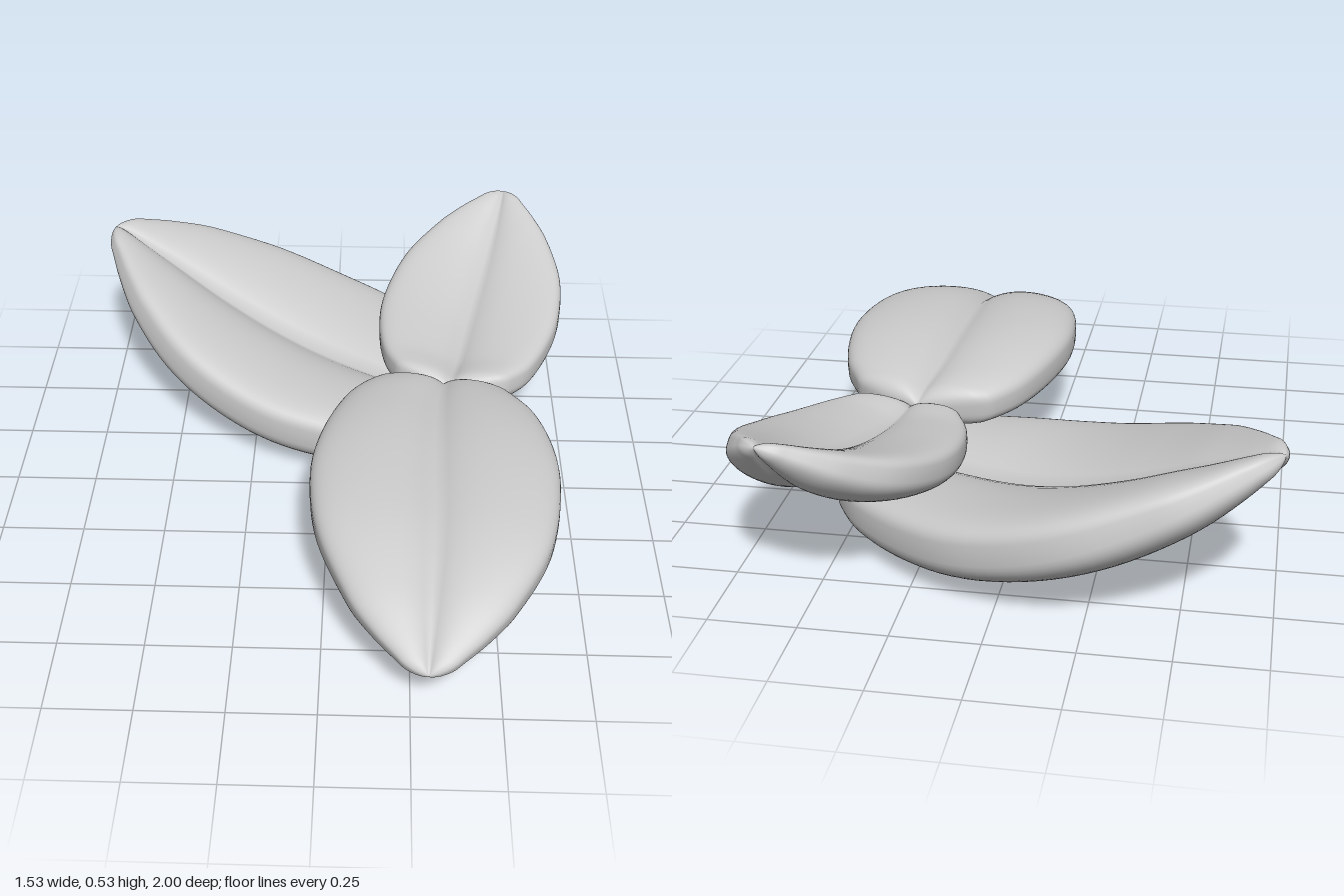
import * as THREE from 'three';

const RINGS = 56, SIDES = 80;
const material = new THREE.MeshStandardMaterial({ color: 0xcccccc });

// Smooth curve through [position, value] pairs, sampled by position
function profile(pairs) {
  return (u) => {
    const last = pairs.length - 1;
    let i = 0;
    while (i < last - 1 && u > pairs[i + 1][0]) i++;
    const slope = (k) => {
      const a = pairs[Math.max(k - 1, 0)], b = pairs[Math.min(k + 1, last)];
      return (b[1] - a[1]) / (b[0] - a[0]);
    };
    const [u0, v0] = pairs[i], [u1, v1] = pairs[i + 1];
    const d = u1 - u0, t = (u - u0) / d, t2 = t * t, t3 = t2 * t;
    return v0 * (2 * t3 - 3 * t2 + 1) + slope(i) * d * (t3 - 2 * t2 + t)
      + v1 * (3 * t2 - 2 * t3) + slope(i + 1) * d * (t3 - t2);
  };
}

// Outline and thickness from stem end (0) to tip (1), as fractions of the maximum
const widthAt = profile([[0, 0.44], [0.05, 0.61], [0.145, 0.81], [0.32, 0.97], [0.47, 1],
  [0.66, 0.9], [0.83, 0.63], [0.91, 0.42], [0.97, 0.22], [1, 0.14]]);
const thicknessAt = profile([[0, 0.64], [0.1, 0.83], [0.3, 1], [0.6, 0.97], [0.8, 0.77], [0.92, 0.47], [1, 0.2]]);

// Rounds off both ends
function endRounding(u) {
  const round = (d, r) => (d >= r ? 1 : Math.sqrt(Math.max(0, 1 - (1 - d / r) ** 2)));
  return round(u, 0.05) * round(1 - u, 0.03);
}

// Plump leaf: two lobes swept along a spine, with a crease above and below
function makeLeaf({ name, spine, halfWidth, halfThickness, lift }) {
  const curve = new THREE.CatmullRomCurve3(spine.map((p) => new THREE.Vector3(...p)));
  const up = new THREE.Vector3(0, 1, 0);
  const positions = [], index = [];
  for (let i = 0; i <= RINGS; i++) {
    const u = (1 - Math.cos((Math.PI * i) / RINGS)) / 2;
    const center = curve.getPointAt(u), along = curve.getTangentAt(u);
    const side = new THREE.Vector3().crossVectors(up, along).normalize();
    const normal = new THREE.Vector3().crossVectors(along, side);
    const round = endRounding(u);
    const w = halfWidth * widthAt(u) * round, h = halfThickness * thicknessAt(u) * round;
    for (let j = 0; j < SIDES; j++) {
      const a = (2 * Math.PI * j) / SIDES;
      const s = Math.sign(Math.cos(a)) * Math.abs(Math.cos(a)) ** 0.9, v = Math.sin(a);
      const crease = 1 - 0.55 * Math.exp(-Math.abs(s) / 0.24);
      const y = Math.sign(v) * Math.abs(v) ** 0.58 * h * crease + lift * s * s * (w / halfWidth);
      const p = center.clone().addScaledVector(side, s * w).addScaledVector(normal, y);
      positions.push(p.x, p.y, p.z);
      if (i < RINGS) {
        const k = (j + 1) % SIDES, r = i * SIDES, n = r + SIDES;
        index.push(r + j, r + k, n + j, r + k, n + k, n + j);
      }
    }
  }
  const geometry = new THREE.BufferGeometry();
  geometry.setAttribute('position', new THREE.Float32BufferAttribute(positions, 3));
  geometry.setIndex(index);
  geometry.computeVertexNormals();
  const mesh = new THREE.Mesh(geometry, material);
  mesh.name = name;
  return mesh;
}

export function createModel() {
  const group = new THREE.Group();
  group.name = 'leafCluster';
  const leaves = [
    // Long low leaf curling up at the back
    {
      name: 'largeLeaf', halfWidth: 0.415, halfThickness: 0.13, lift: 0.04,
      spine: [[0.485, 0.105, -0.215], [0.2, 0.102, -0.35], [-0.02, 0.124, -0.452], [-0.2, 0.172, -0.533],
        [-0.39, 0.255, -0.615], [-0.57, 0.363, -0.69], [-0.753, 0.495, -0.76]],
    },
    // Leaf drooping to the front
    {
      name: 'frontLeaf', halfWidth: 0.363, halfThickness: 0.103, lift: 0,
      spine: [[0.36, 0.27, -0.165], [0.335, 0.287, 0], [0.32, 0.296, 0.3], [0.315, 0.275, 0.6],
        [0.305, 0.227, 0.8], [0.295, 0.155, 1]],
    },
    // Small leaf rising at the back
    {
      name: 'smallLeaf', halfWidth: 0.295, halfThickness: 0.088, lift: 0.035,
      spine: [[0.375, 0.26, -0.155], [0.405, 0.243, -0.3], [0.445, 0.265, -0.5], [0.495, 0.325, -0.7],
        [0.537, 0.405, -0.85], [0.58, 0.528, -0.995]],
    },
  ];
  leaves.forEach((leaf) => group.add(makeLeaf(leaf)));
  return group;
}
